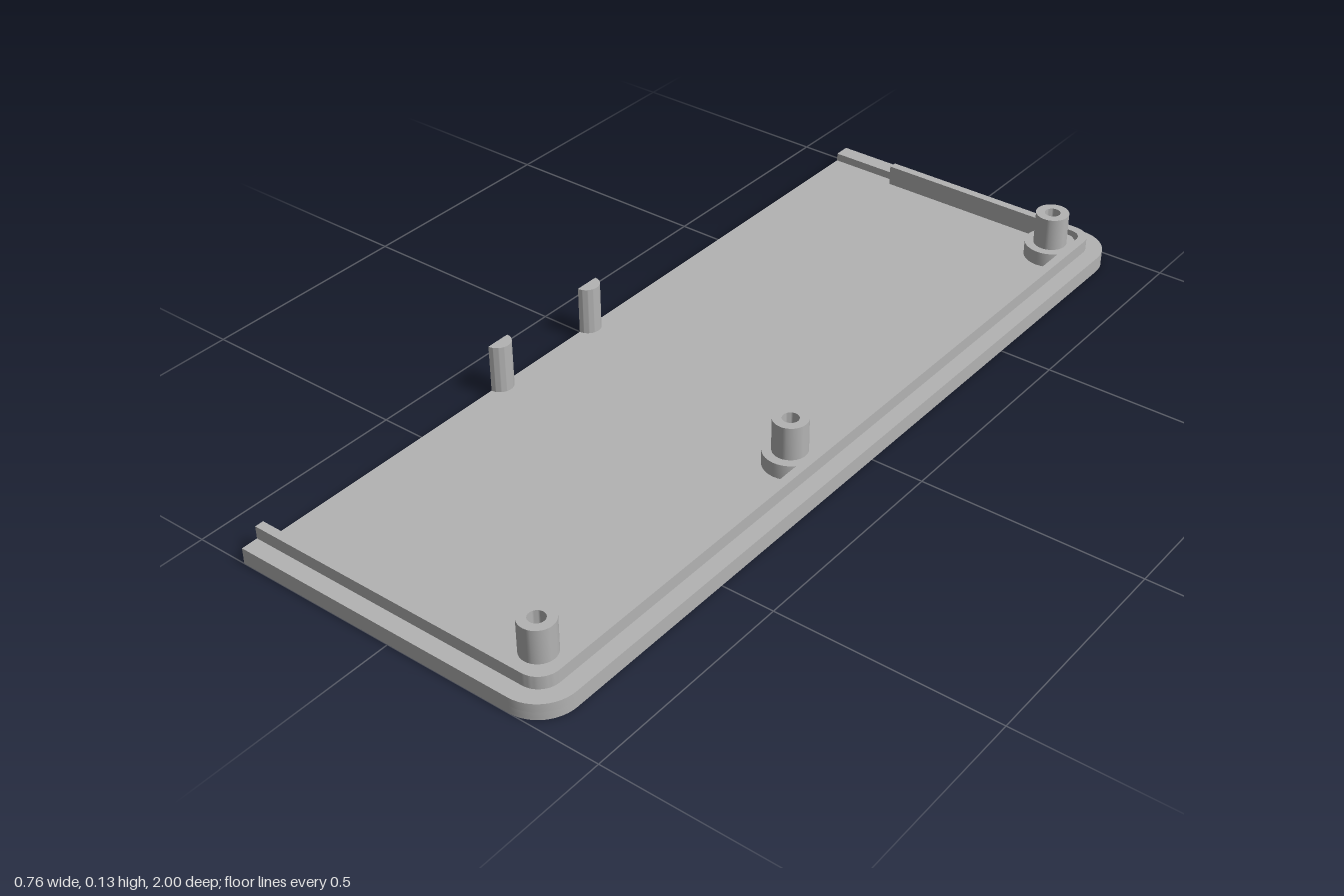
import * as THREE from 'three';
import { toCreasedNormals } from 'three/addons/utils/BufferGeometryUtils.js';

const W = 0.38, L = 1, R = 0.085;            // half width, half length, corner radius
const FLOOR = 0.018, RECESS = 0.005, RIM = 0.037, LIP = 0.066, TOP = 0.129;

// Plan outline inset by o, from the front left end round both corners to the back left end
function outline(o, frontX = -W, backX = -W) {
  const pts = [new THREE.Vector2(frontX, -L + o)];
  const r = R - o, cx = W - R, cy = L - R;
  for (const [sy, start] of [[-1, -Math.PI / 2], [1, 0]]) {
    for (let i = 0; i <= 12; i++) {
      const a = start + (i / 12) * Math.PI / 2;
      pts.push(new THREE.Vector2(cx + r * Math.cos(a), sy * cy + r * Math.sin(a)));
    }
  }
  pts.push(new THREE.Vector2(backX, L - o));
  return pts;
}

// Extrude a plan shape upwards from y0 to y1
function slab(shape, y0, y1) {
  const g = new THREE.ExtrudeGeometry(shape, { depth: y1 - y0, bevelEnabled: false, curveSegments: 32 });
  g.rotateX(-Math.PI / 2).translate(0, y0, 0);
  return toCreasedNormals(g, 0.6);
}

// Band between two insets, open on the left side
const band = (o, i, backX) =>
  new THREE.Shape([...outline(o, -W, backX), ...outline(i, -W, backX).reverse()]);

function plate(holes) {
  const s = new THREE.Shape(outline(0));
  for (const [x, z, r] of holes) s.holes.push(new THREE.Path().absarc(x, -z, r, 0, Math.PI * 2, true));
  return s;
}

export function createModel() {
  const model = new THREE.Group();
  model.name = 'caseHalf';
  const grey = new THREE.MeshStandardMaterial({ color: 0xb3b3b3 });
  grey.name = 'grey plastic';
  const add = (name, geometry, x = 0, z = 0) => {
    const mesh = new THREE.Mesh(geometry, grey);
    mesh.name = name;
    mesh.position.set(x, 0, z);
    model.add(mesh);
  };

  // Floor with screw holes and two shallow round foot recesses underneath
  const bosses = [[0.268, -0.89], [0.268, 0.13], [0.268, 0.887]];
  const screwHoles = bosses.map(([x, z]) => [x, z, 0.03]);
  const feet = [[0.15, -0.79, 0.077], [0.15, 0.79, 0.077]];
  add('floorUnderside', slab(plate([...screwHoles, ...feet]), 0, RECESS));
  add('floor', slab(plate(screwHoles), RECESS, FLOOR));

  // Stepped edge: low outer rim and taller inner lip, which stops short at the back
  add('outerRim', slab(band(0, 0.038, -W), FLOOR, RIM));
  add('innerLip', slab(band(0.038, 0.058, -0.21), FLOOR, LIP));

  // Hollow screw bosses with a wide foot and a counterbore below
  const profile = [
    [0.058, FLOOR], [0.058, 0.052], [0.038, 0.052], [0.038, TOP],
    [0.018, TOP], [0.018, 0.04], [0.03, 0.04], [0.03, FLOOR],
  ].map(([x, y]) => new THREE.Vector2(x, y));
  for (const [x, z] of bosses) {
    add('screwBoss', toCreasedNormals(new THREE.LatheGeometry(profile, 32), 0.6), x, z);
  }

  // Half-round posts on the open left edge
  const half = new THREE.Shape().absarc(0, 0, 0.029, -Math.PI / 2, Math.PI / 2, false);
  for (const z of [-0.008, 0.277]) add('halfRoundPost', slab(half, FLOOR, TOP), -W, z);

  return model;
}
